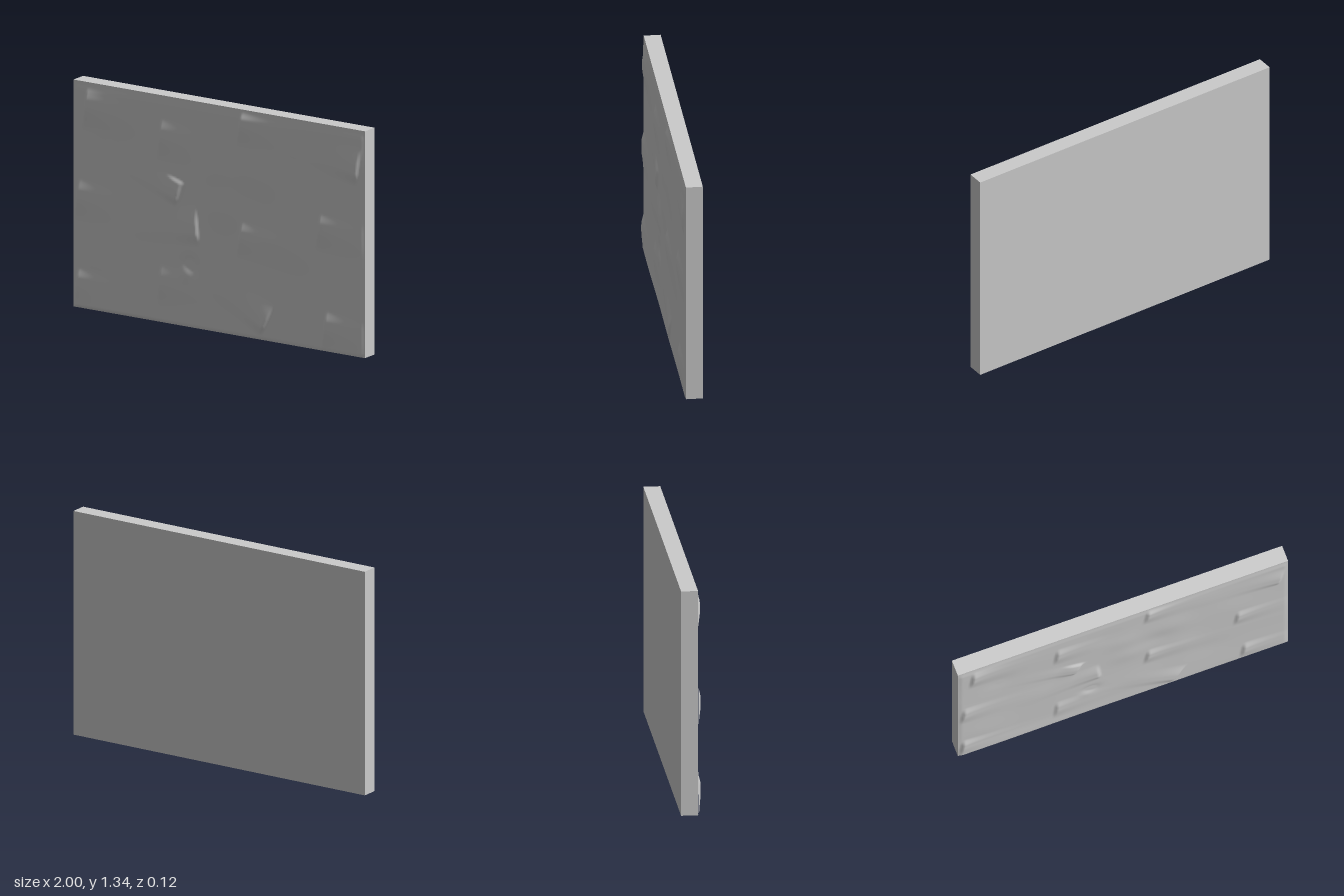
import * as THREE from 'three';

const W = 2, H = 1.335, BACK = -0.06, FACE = 0.038;

// Sharp chipped ledges: x0, y0, x1, y1, height; the raised side lies to the right of the direction
const ledges = [
  [-0.93, 1.07, -0.91, 1.27, 0.016], [-0.42, 0.97, -0.40, 1.17, 0.014],
  [0.125, 1.13, 0.15, 1.31, 0.014], [-0.985, 0.53, -0.965, 0.73, 0.014],
  [-0.99, 0.03, -0.97, 0.21, 0.016], [-0.42, 0.10, -0.405, 0.31, 0.012],
  [0.125, 0.47, 0.15, 0.65, 0.014], [0.67, 0.60, 0.69, 0.78, 0.014],
  [0.71, 0.02, 0.73, 0.21, 0.015], [0.975, 1.23, 0.945, 1.04, 0.015],
  [-0.155, 0.72, -0.14, 0.52, 0.015], [0.38, 0.21, 0.30, 0.05, 0.016],
  [-0.37, 0.88, -0.245, 0.84, 0.010], [-0.245, 0.85, -0.29, 0.72, 0.012],
];

// Soft swells and hollows: x, y, radius, height
const swells = [
  [-0.75, 1.0, 0.09, -0.004], [-0.2, 0.36, 0.05, -0.010], [-0.22, 0.32, 0.04, 0.006],
  [0.03, 0.72, 0.10, 0.005], [0.2, 0.82, 0.09, -0.004], [0.3, 0.95, 0.12, 0.005],
  [0.0, 0.95, 0.10, 0.004], [0.35, 0.6, 0.10, 0.004], [0.5, 0.38, 0.12, -0.003],
  [-0.5, 0.55, 0.14, 0.003], [0.65, 0.9, 0.14, 0.003], [-0.85, 0.3, 0.12, 0.003],
  [0.1, 0.3, 0.12, 0.003], [0.5, 1.15, 0.15, 0.003], [-0.1, 1.1, 0.1, -0.003],
];

const smooth = THREE.MathUtils.smoothstep;

function relief(x, y) {
  let h = 0.004 + 0.0015 * Math.sin(5 * x + 2 * y) * Math.cos(6 * y - 2 * x);
  for (const [x0, y0, x1, y1, height] of ledges) {
    const dx = x1 - x0, dy = y1 - y0, len = Math.hypot(dx, dy);
    const t = ((x - x0) * dx + (y - y0) * dy) / (len * len);
    const d = ((x - x0) * dy - (y - y0) * dx) / len;
    if (d <= -0.01 || t <= -0.3 || t >= 1.3) continue;
    const along = smooth(t, -0.1, 0.6) * (1 - smooth(t, 0.8, 1.2));
    h += height * along * smooth(d, -0.01, 0.012) * Math.exp(-Math.max(d, 0) / 0.13);
  }
  for (const [sx, sy, r, height] of swells) {
    h += height * Math.exp(-((x - sx) ** 2 + (y - sy) ** 2) / (r * r));
  }
  // thicker lip along the bottom left, fading to the right
  h += 0.006 * (1 - smooth(x, -1, 0.7)) * (1 - smooth(y, 0, 0.15));
  // settle onto the slab at its borders
  const border = smooth(1 - Math.abs(x), 0, 0.025) * smooth(H - y, 0, 0.06) * smooth(y, -0.001, 0.015);
  return THREE.MathUtils.clamp(h, 0, 0.022) * border;
}

export function createModel() {
  const group = new THREE.Group();
  const material = new THREE.MeshStandardMaterial({ color: 0xcccccc });

  // Flat slab behind the carved face
  const depth = FACE - 0.001 - BACK;
  const slab = new THREE.Mesh(new THREE.BoxGeometry(W, H, depth), material);
  slab.name = 'slab';
  slab.position.set(0, H / 2, BACK + depth / 2);
  group.add(slab);

  // Rough stone face
  const geometry = new THREE.PlaneGeometry(W, H, 240, 160);
  geometry.translate(0, H / 2, FACE);
  const p = geometry.attributes.position;
  for (let i = 0; i < p.count; i++) {
    p.setZ(i, FACE + relief(p.getX(i), p.getY(i)));
  }
  geometry.computeVertexNormals();
  const face = new THREE.Mesh(geometry, material);
  face.name = 'roughFace';
  group.add(face);

  return group;
}
